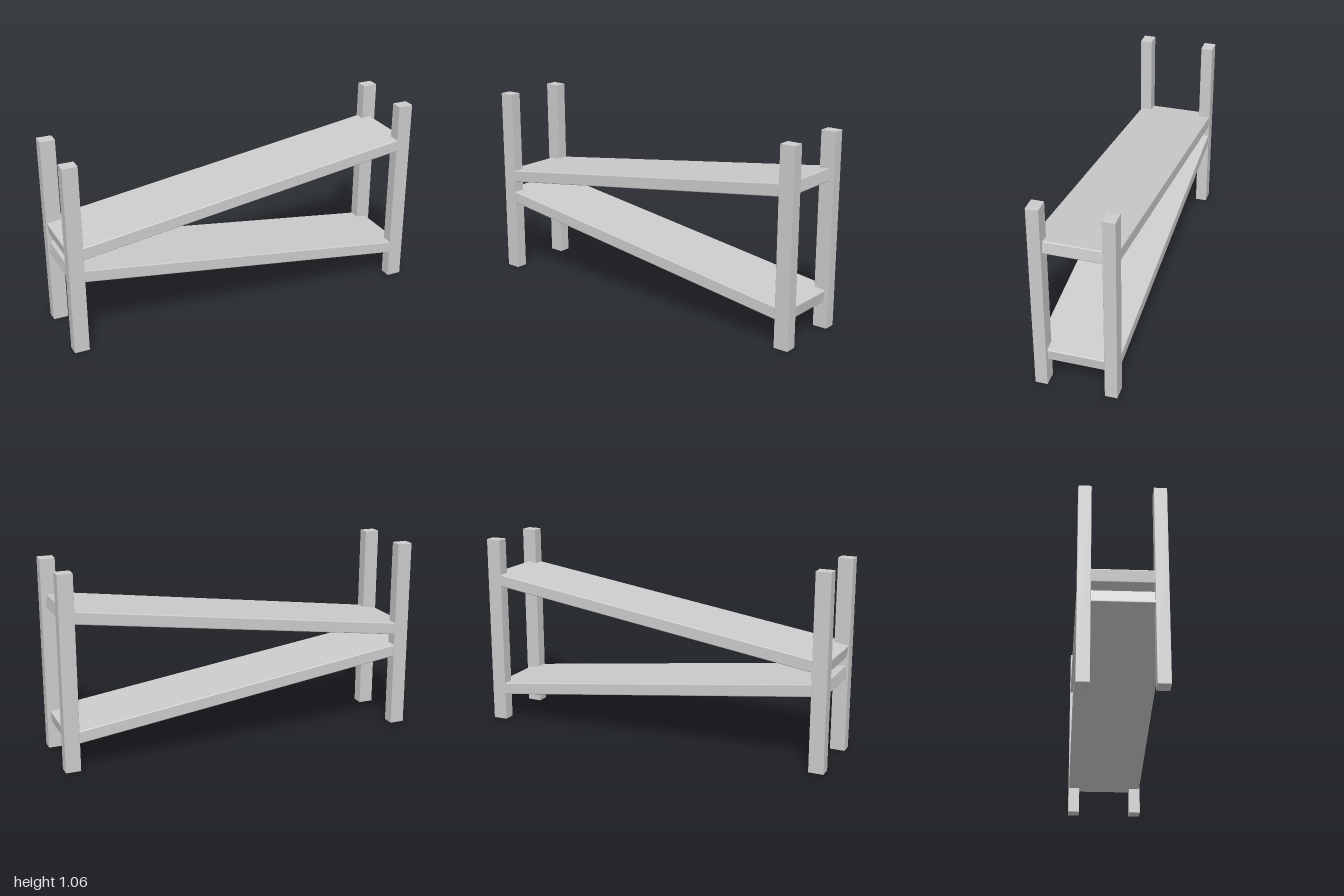
import * as THREE from 'three';
import { RoundedBoxGeometry } from 'three/addons/geometries/RoundedBoxGeometry.js';

export function createModel() {
  const model = new THREE.Group();
  model.name = 'slantedShelf';
  const material = new THREE.MeshStandardMaterial({ color: 0xcccccc });

  function add(name, geometry, x, y, z, tilt = 0) {
    const mesh = new THREE.Mesh(geometry, material);
    mesh.name = name;
    mesh.position.set(x, y, z);
    mesh.rotation.z = tilt;
    model.add(mesh);
  }

  // Four corner posts; the left pair sits a hair higher
  const postHeight = 1.054;
  const post = new RoundedBoxGeometry(0.082, postHeight, 0.066, 1, 0.002);
  for (const [side, lift] of [['right', 0], ['left', 0.005]]) {
    const x = side === 'left' ? 0.959 : -0.959;
    for (const [end, z] of [['Front', 0.185], ['Back', -0.185]]) {
      add(`${side}${end}Post`, post, x, lift + postHeight / 2, z);
    }
  }

  // Two boards with softened edges, spreading apart towards the left
  const board = new RoundedBoxGeometry(1.985, 0.067, 0.43, 2, 0.006);
  add('upperShelf', board, -0.009, 0.696, 0, Math.atan(0.1417));
  add('lowerShelf', board, -0.006, 0.315, 0, -Math.atan(0.1355));

  return model;
}
